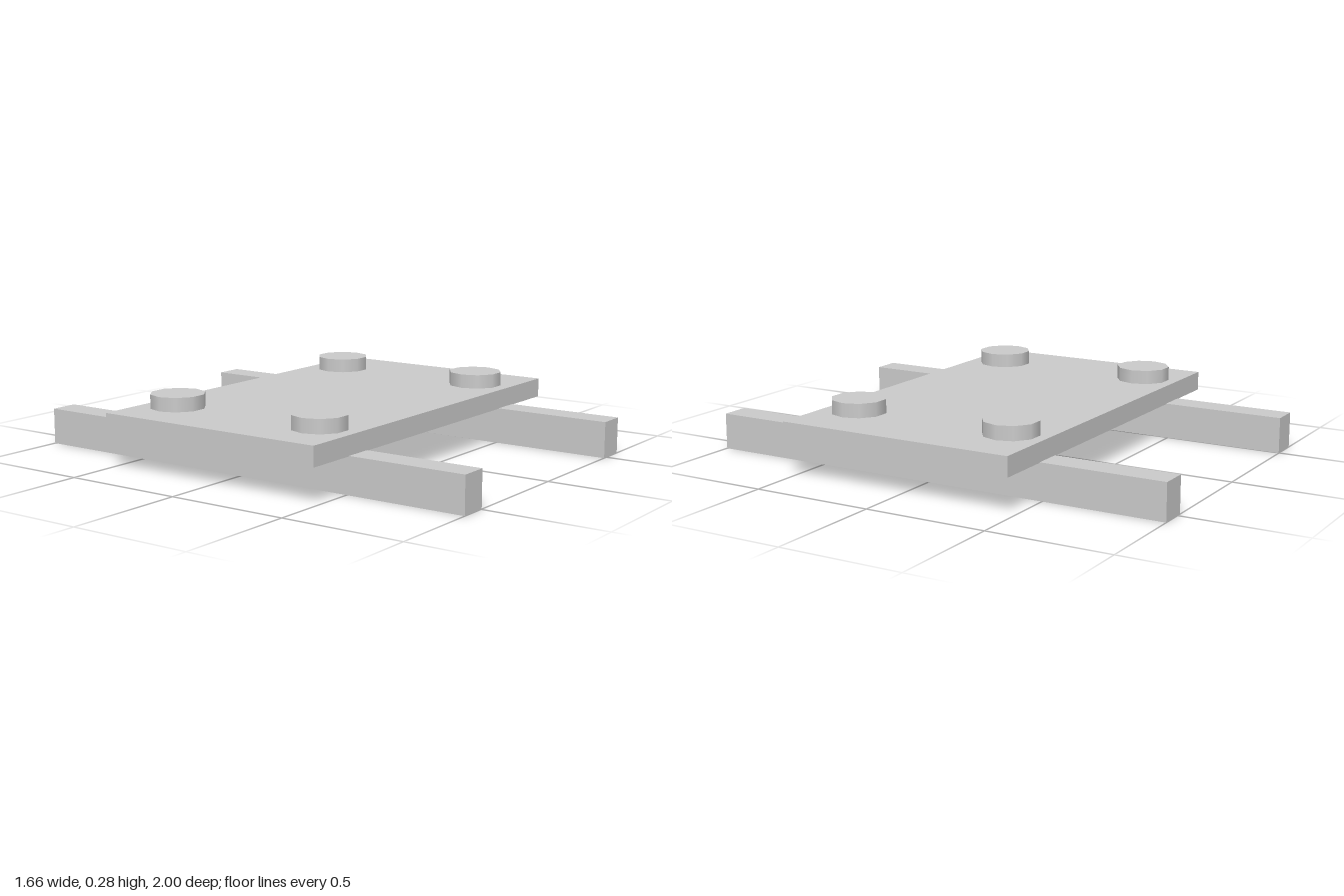
import * as THREE from 'three';

export function createModel() {
  const model = new THREE.Group();
  const material = new THREE.MeshStandardMaterial({ color: 0xcccccc });

  const add = (name, geometry, x, y, z) => {
    const mesh = new THREE.Mesh(geometry, material);
    mesh.name = name;
    mesh.position.set(x, y, z);
    model.add(mesh);
  };

  // Two long rails carrying the deck
  const rail = new THREE.BoxGeometry(0.116, 0.148, 2);
  add('rightRail', rail, -0.554, 0.074, 0);
  add('leftRail', rail, 0.538, 0.074, 0);

  // Flat deck, set slightly forward on the rails
  add('deck', new THREE.BoxGeometry(1.656, 0.079, 1), 0, 0.1855, 0.01);

  // Four ten-sided discs near the deck corners, a corner pointing along x
  const disc = new THREE.CylinderGeometry(0.111, 0.111, 0.057, 10, 1, false, Math.PI / 2);
  for (const [side, x] of [['Right', -0.576], ['Left', 0.548]]) {
    for (const [end, z] of [['back', -0.34], ['front', 0.353]]) {
      add(`${end}${side}Disc`, disc, x, 0.2535, z);
    }
  }

  return model;
}
